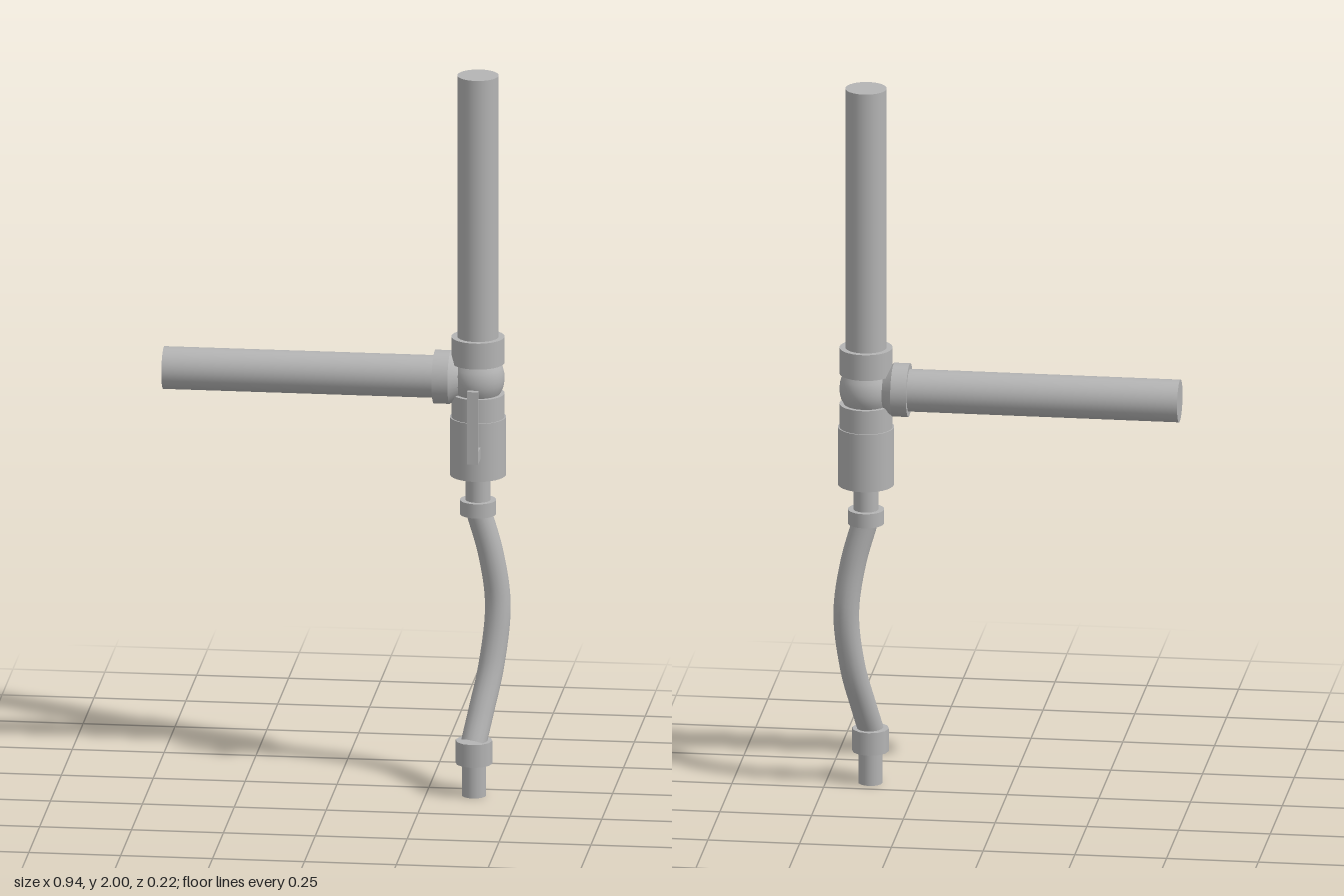
import * as THREE from 'three';

export function createModel() {
  const model = new THREE.Group();
  const grey = new THREE.MeshStandardMaterial({ color: 0xb4b4b4 });
  grey.name = 'pipe grey';
  const AX = 0.38, AZ = -0.032, HOSE_Z = 0.06, BRANCH_Y = 1.148;

  function add(name, geometry, x, y, z, parent = model) {
    const mesh = new THREE.Mesh(geometry, grey);
    mesh.name = name;
    mesh.position.set(x, y, z);
    parent.add(mesh);
    return mesh;
  }

  // Upright cylinder between two heights
  function upright(name, r, y0, y1, z = AZ, sides = 32) {
    return add(name, new THREE.CylinderGeometry(r, r, y1 - y0, sides), AX, (y0 + y1) / 2, z);
  }

  // Cylinder along x between two positions
  function sideways(name, rLeft, rRight, x0, x1) {
    const mesh = add(name, new THREE.CylinderGeometry(rRight, rLeft, x1 - x0, 32), (x0 + x1) / 2, BRANCH_Y, AZ);
    mesh.rotation.z = -Math.PI / 2;
    return mesh;
  }

  // Long pipes
  upright('uprightPipe', 0.056, 1.24, 2);
  sideways('branchPipe', 0.058, 0.058, -0.475, 0.3);

  // Tee fitting: two collars, a bulged body and the side socket
  upright('teeUpperCollar', 0.072, 1.192, 1.265);
  upright('teeLowerCollar', 0.072, 1.04, 1.106);
  const bulge = [[0.06, 1.192], [0.067, 1.178], [0.071, 1.163], [0.072, 1.148],
    [0.071, 1.134], [0.067, 1.119], [0.06, 1.106]].reverse();
  add('teeBody', new THREE.LatheGeometry(bulge.map(([r, y]) => new THREE.Vector2(r, y)), 32), AX, 0, AZ);
  sideways('teeSideSocket', 0.073, 0.073, 0.262, 0.305);
  sideways('teeSideTaper', 0.073, 0.042, 0.305, 0.345);

  // Valve with its outlet
  upright('valveBody', 0.076, 0.877, 1.04);
  upright('valveOutlet', 0.034, 0.8, 0.88);

  // Lever handle: stem out of the valve and an upright blade
  const handle = new THREE.Group();
  handle.name = 'valveHandle';
  model.add(handle);
  add('handleStem', new THREE.BoxGeometry(0.03, 0.033, 0.07), AX, 0.957, 0.058, handle);
  add('handleLever', new THREE.BoxGeometry(0.03, 0.204, 0.015), AX, 1.042, 0.0865, handle);

  // Flexible hose
  const path = new THREE.CatmullRomCurve3([
    [AX, 0.78, AZ], [0.415, 0.65, -0.038], [0.433, 0.51, -0.04],
    [0.419, 0.35, -0.014], [0.396, 0.23, 0.03], [AX, 0.15, 0.066],
  ].map((p) => new THREE.Vector3(...p)));
  add('hose', new THREE.TubeGeometry(path, 32, 0.035, 16, false), 0, 0, 0);

  // Hose couplings
  upright('hoseUpperNut', 0.049, 0.766, 0.806);
  upright('hoseLowerNut', 0.05, 0.091, 0.155, HOSE_Z, 12);
  upright('hoseEnd', 0.033, 0, 0.1, HOSE_Z, 16);

  return model;
}
